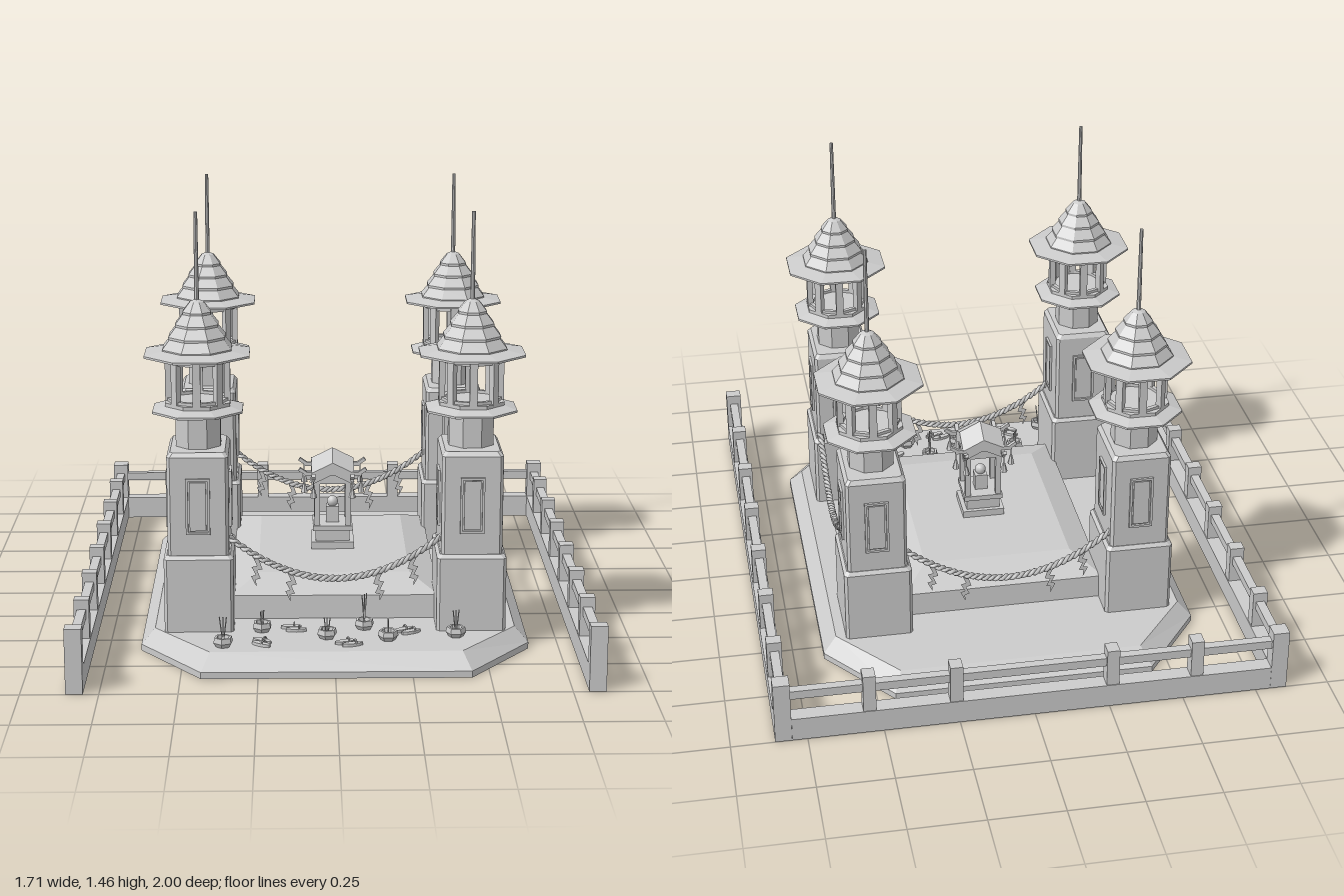
import * as THREE from 'three';

const mat = new THREE.MeshStandardMaterial({ color: 0xcccccc, flatShading: true });
const smooth = new THREE.MeshStandardMaterial({ color: 0xcccccc });
const thin = new THREE.MeshStandardMaterial({ color: 0xcccccc, side: THREE.DoubleSide });

function add(parent, name, geo, x = 0, y = 0, z = 0, m = mat) {
  const mesh = new THREE.Mesh(geo, m);
  mesh.name = name;
  mesh.position.set(x, y, z);
  parent.add(mesh);
  return mesh;
}
function group(parent, name, x = 0, y = 0, z = 0) {
  const g = new THREE.Group();
  g.name = name;
  g.position.set(x, y, z);
  parent.add(g);
  return g;
}
const box = (w, h, d) => new THREE.BoxGeometry(w, h, d);
// Box given by its bottom height
const block = (p, name, w, h, d, x, y, z) => add(p, name, box(w, h, d), x, y + h / 2, z);

// Rectangle (half sizes x, z) with cut corners starting at cx, cz
const ring = (y, x, z, cx, cz) => [[cx, z], [x, cz], [x, -cz], [cx, -z], [-cx, -z], [-x, -cz], [-x, cz], [-cx, z]]
  .map(([a, b]) => [a, y, b]);

// Solid through a stack of rings, bottom to top, capped at both ends
function loft(rings) {
  const v = [], n = rings[0].length, last = rings[rings.length - 1];
  for (let r = 0; r < rings.length - 1; r++) for (let i = 0; i < n; i++) {
    const j = (i + 1) % n, a = rings[r][i], b = rings[r][j], c = rings[r + 1][j], d = rings[r + 1][i];
    v.push(...a, ...b, ...d, ...b, ...c, ...d);
  }
  for (let i = 0; i < n; i++) {
    const j = (i + 1) % n;
    v.push(0, last[0][1], 0, ...last[i], ...last[j]);
    v.push(0, rings[0][0][1], 0, ...rings[0][j], ...rings[0][i]);
  }
  const g = new THREE.BufferGeometry();
  g.setAttribute('position', new THREE.Float32BufferAttribute(v, 3));
  g.computeVertexNormals();
  return g;
}
// Eight-sided turned solid with flats on the axes
const octagon = (pts) => new THREE.LatheGeometry(pts.map(p => new THREE.Vector2(...p)), 8).rotateY(Math.PI / 8);

function buildTower(parent, x, z) {
  const t = group(parent, 'tower', x, 0, z);
  const c = 0.01;
  const r = (y, w, d) => ring(y, w, d, w - c, d - c);
  add(t, 'towerBase', loft([r(0.06, 0.115, 0.14), r(0.32, 0.115, 0.14), r(0.332, 0.105, 0.13)]));
  add(t, 'towerShaft', loft([r(0.33, 0.101, 0.128), r(0.665, 0.101, 0.128), r(0.68, 0.09, 0.117)]));
  // Framed panel on each face
  for (let i = 0; i < 4; i++) {
    const g = group(t, 'towerPanel', 0, 0.5, 0);
    g.rotation.y = i * Math.PI / 2;
    const d = i % 2 ? 0.101 : 0.128;
    for (const s of [-1, 1]) {
      add(g, 'panelStile', box(0.008, 0.19, 0.016), s * 0.036, 0, d);
      add(g, 'panelRail', box(0.08, 0.008, 0.016), 0, s * 0.091, d);
    }
    add(g, 'panelBoard', box(0.054, 0.165, 0.01), 0, 0, d);
  }
  add(t, 'neck', octagon([[0, 0.67], [0.08, 0.67], [0.08, 0.8], [0, 0.8]]));
  add(t, 'lowerEave', octagon([[0, 0.79], [0.08, 0.79], [0.16, 0.797], [0.16, 0.804], [0.115, 0.818], [0.115, 0.83], [0, 0.83]]));
  // Open lantern room
  for (let i = 0; i < 8; i++) {
    const g = group(t, 'lanternBay');
    g.rotation.y = i * Math.PI / 4;
    block(g, 'lanternPost', 0.026, 0.16, 0.02, 0, 0.825, 0.097);
    const b = group(g, 'lanternBeams');
    b.rotation.y = Math.PI / 8;
    block(b, 'lanternSill', 0.08, 0.012, 0.014, 0, 0.828, 0.09);
    block(b, 'lanternLintel', 0.08, 0.026, 0.014, 0, 0.96, 0.09);
  }
  add(t, 'upperEave', octagon([[0, 0.978], [0.11, 0.978], [0.186, 0.985], [0.186, 0.992], [0.12, 1.004], [0, 1.004]]));
  // Roof in overlapping tiers
  const tiers = [[0.122, 1.0], [0.1, 1.04], [0.076, 1.08], [0.05, 1.12]];
  const roof = [[0, 1.0]];
  for (const [rad, y] of tiers) roof.push([rad, y], [rad, y + 0.008], [rad - 0.026, y + 0.04]);
  roof.push([0, 1.17]);
  add(t, 'towerRoof', octagon(roof));
  add(t, 'spire', new THREE.CylinderGeometry(0.006, 0.008, 0.31, 8), 0, 1.3, 0);
}

// One strand winding round a hanging line
class Strand extends THREE.Curve {
  constructor(half, top, low, phase) {
    super();
    Object.assign(this, { half, top, low, phase });
  }
  getPoint(t, out = new THREE.Vector3()) {
    const u = 2 * t - 1, a = t * Math.PI * 36 + this.phase;
    return out.set(u * this.half, this.low + (this.top - this.low) * u * u + 0.006 * Math.sin(a), 0.006 * Math.cos(a));
  }
}
function buildRope(parent, x, z, turn, half, top) {
  const g = group(parent, 'hangingRope', x, 0, z), low = 0.232;
  g.rotation.y = turn;
  for (const p of [0, Math.PI])
    add(g, 'ropeStrand', new THREE.TubeGeometry(new Strand(half, top, low, p), 200, 0.007, 5), 0, 0, 0, smooth);
  // Zigzag paper streamers
  const zig = [[0, 0], [0.016, -0.004], [0.004, -0.032], [0.022, -0.036], [0.008, -0.064], [0.024, -0.068], [0.006, -0.105],
    [0.008, -0.08], [-0.008, -0.076], [0.004, -0.048], [-0.014, -0.044]];
  for (const u of [-0.72, -0.4, 0.4, 0.72]) {
    const shape = new THREE.Shape(zig.map(([a, b]) => new THREE.Vector2(a * Math.sign(u), b)));
    add(g, 'paperStreamer', new THREE.ShapeGeometry(shape), u * half, low + (top - low) * u * u, 0, thin);
  }
}

function buildShrine(parent) {
  const s = group(parent, 'shrine', 0.003, 0, 0.015);
  block(s, 'shrineStep', 0.15, 0.03, 0.15, 0, 0.185, 0);
  block(s, 'shrinePedestal', 0.12, 0.05, 0.12, 0, 0.21, 0);
  block(s, 'shrineFloor', 0.14, 0.018, 0.14, 0, 0.255, 0);
  for (const x of [-1, 1]) for (const z of [-1, 1]) block(s, 'shrinePost', 0.02, 0.17, 0.02, x * 0.055, 0.27, z * 0.055);
  block(s, 'offeringStand', 0.045, 0.06, 0.045, 0, 0.27, 0);
  add(s, 'offeringBall', new THREE.SphereGeometry(0.02, 10, 8), 0, 0.345, 0, smooth);
  block(s, 'shrineHead', 0.13, 0.04, 0.13, 0, 0.425, 0);
  // Roof with crossing ridges that drop toward the corners
  const roof = new THREE.BoxGeometry(0.15, 0.03, 0.15, 2, 1, 2);
  const p = roof.attributes.position;
  for (let i = 0; i < p.count; i++)
    p.setY(i, (p.getY(i) > 0 ? 0.542 : 0.5) - 0.5 * (Math.abs(p.getX(i)) + Math.abs(p.getZ(i))));
  add(s, 'shrineRoof', roof);
  // Crossed beams with raised tips and tassels
  for (let i = 0; i < 4; i++) {
    const g = group(s, 'roofBeam', 0, i % 2 ? 0.452 : 0.464, 0);
    g.rotation.y = i * Math.PI / 2;
    add(g, 'beam', box(0.2, 0.014, 0.012), 0, 0, 0.068);
    for (const k of [-1, 1]) {
      add(g, 'beamTip', box(0.03, 0.012, 0.014), k * 0.105, 0.01, 0.068).rotation.z = k * 0.6;
      add(g, 'tasselCord', box(0.004, 0.035, 0.004), k * 0.1, -0.02, 0.068);
      add(g, 'tassel', new THREE.CylinderGeometry(0.005, 0.013, 0.032, 6), k * 0.1, -0.05, 0.068);
    }
  }
}

function buildOfferings(parent) {
  // Six-sided incense pots
  for (const [x, z, h] of [[-0.365, 0.755, 0.08], [-0.24, 0.61, 0.05], [-0.025, 0.68, 0.05], [0.1, 0.59, 0.1], [0.175, 0.7, 0.05], [0.4, 0.67, 0.07]]) {
    const g = group(parent, 'incensePot', x, 0.07, z);
    g.rotation.y = x * 9;
    const prof = [[0, 0], [0.024, 0], [0.034, 0.015], [0.03, 0.032], [0.022, 0.032], [0.02, 0.02], [0, 0.02]];
    add(g, 'pot', new THREE.LatheGeometry(prof.map(q => new THREE.Vector2(...q)), 6));
    for (let i = 0; i < 3; i++) {
      const stick = add(g, 'incenseStick', new THREE.CylinderGeometry(0.002, 0.002, h, 5), (i - 1) * 0.007, 0.02 + h / 2, 0);
      stick.rotation.z = (1 - i) * 0.12;
    }
  }
  // Pairs of small sandals
  for (const [x, z, a] of [[-0.135, 0.6, 0], [-0.24, 0.735, -0.6], [0.045, 0.745, 0.3], [0.24, 0.63, 0.5]]) {
    const g = group(parent, 'sandalPair', x, 0.07, z);
    g.rotation.y = a;
    for (const s of [-1, 1]) {
      add(g, 'sole', new THREE.CylinderGeometry(0.015, 0.015, 0.01, 10).scale(2.4, 1, 0.8), s * 0.008, 0.005, s * 0.014);
      add(g, 'strap', new THREE.TorusGeometry(0.011, 0.003, 5, 8, Math.PI).rotateY(Math.PI / 2), s * 0.008 + 0.01, 0.009, s * 0.014);
    }
  }
}

function buildFence(parent) {
  const f = group(parent, 'fence'), X = 0.828;
  for (const s of [-1, 1]) {
    block(f, 'sidePlinth', 0.055, 0.082, 2, s * X, 0, 0);
    block(f, 'sideRail', 0.03, 0.03, 1.96, s * X, 0.152, 0);
    block(f, 'endPost', 0.055, 0.217, 0.045, s * X, 0, 0.9775);
    block(f, 'cornerPost', 0.055, 0.217, 0.055, s * X, 0, -0.9725);
    for (let i = 1; i < 7; i++) block(f, 'sidePost', 0.05, 0.215, 0.042, s * X, 0, 0.975 - i * 0.285);
    for (const x of [0.26, 0.545]) block(f, 'backPost', 0.042, 0.215, 0.05, s * x, 0, -0.9725);
  }
  block(f, 'backPlinth', 1.6, 0.082, 0.055, 0, 0, -0.9725);
  block(f, 'backRail', 1.64, 0.03, 0.03, 0, 0.152, -0.9725);
}

export function createModel() {
  const model = new THREE.Group();
  // Cut-cornered platform and the low mound under the shrine
  add(model, 'platform', loft([ring(0, 0.645, 0.855, 0.437, 0.585), ring(0.022, 0.645, 0.855, 0.437, 0.585),
    ring(0.07, 0.6, 0.795, 0.41, 0.56)]), 0.003, 0, 0.015);
  const r = (y, x, z) => ring(y, x, z, x, z);
  add(model, 'mound', loft([r(0.06, 0.355, 0.475), r(0.15, 0.35, 0.47), r(0.19, 0.258, 0.34)]), 0.003, 0, 0.012);
  for (const x of [-0.448, 0.454]) for (const z of [-0.43, 0.48]) buildTower(model, x, z);
  for (const z of [-0.53, 0.55]) buildRope(model, 0.003, z, 0, 0.355, 0.38);
  for (const x of [-0.54, 0.546]) buildRope(model, x, 0.025, Math.PI / 2, 0.325, 0.355);
  buildShrine(model);
  buildOfferings(model);
  buildFence(model);
  return model;
}
